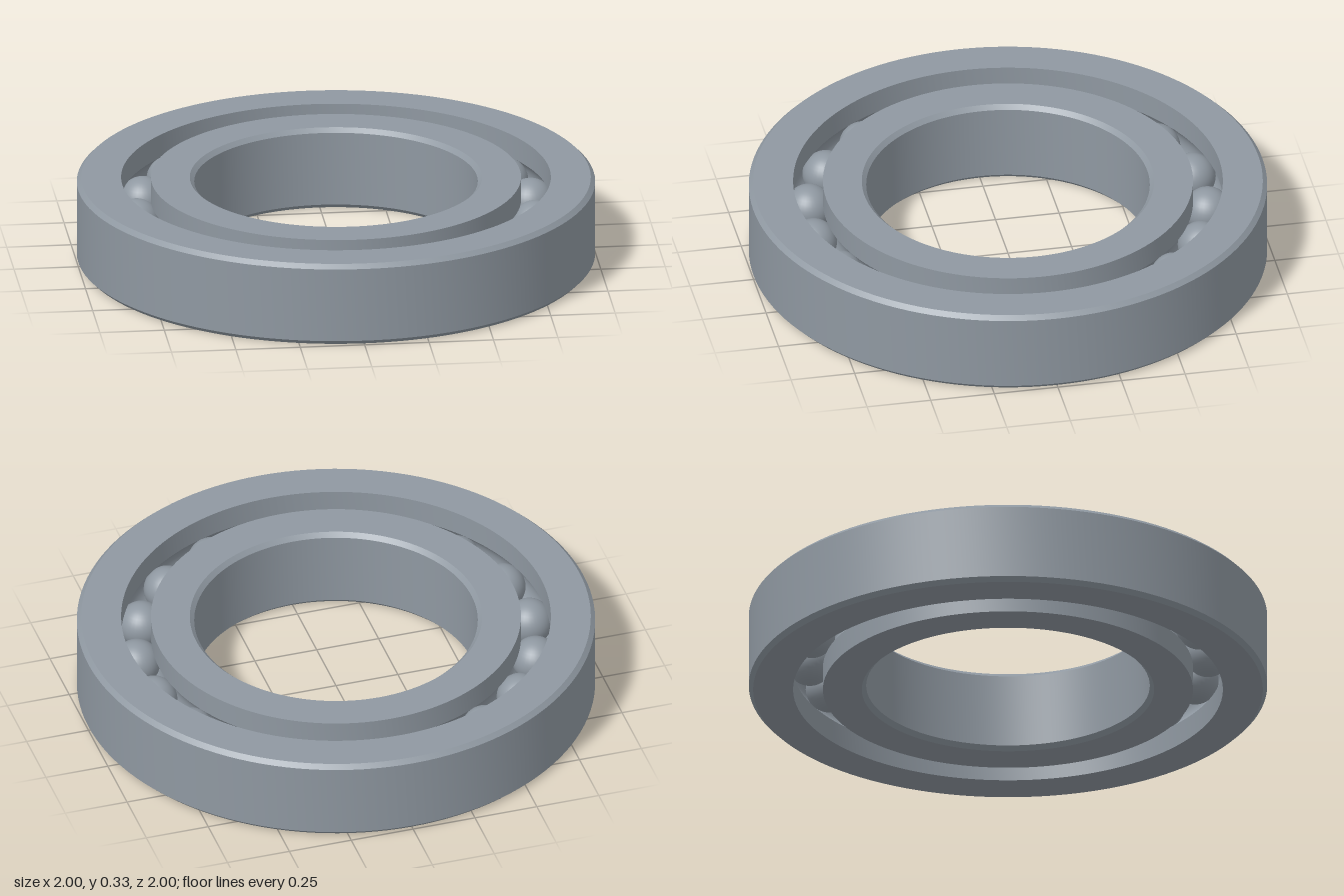
import * as THREE from 'three';
import { toCreasedNormals } from 'three/addons/utils/BufferGeometryUtils.js';

const HEIGHT = 0.328, MID = HEIGHT / 2;
const PITCH = 0.7715, BALL_RADIUS = 0.091, BALLS = 19;
const OUTER = 1, OUTER_LIP = 0.829, INNER_LIP = 0.714, BORE = 0.547;
const CHAMFER = 0.017;

// Raceway groove: arc of the ball circle around a middle angle, swept clockwise
function groove(lipRadius, middle) {
  const half = Math.acos(Math.abs(lipRadius - PITCH) / BALL_RADIUS);
  const points = [];
  for (let i = 0; i <= 12; i++) {
    const a = middle + half * (1 - i / 6);
    points.push([PITCH + BALL_RADIUS * Math.cos(a), MID + BALL_RADIUS * Math.sin(a)]);
  }
  return points;
}

// Revolve a closed profile, given counter-clockwise in (radius, height)
function ring(name, profile, material) {
  const points = [...profile, profile[0]].map(([r, y]) => new THREE.Vector2(r, y));
  const geometry = toCreasedNormals(new THREE.LatheGeometry(points, 128), 0.5);
  const mesh = new THREE.Mesh(geometry, material);
  mesh.name = name;
  return mesh;
}

export function createModel() {
  const model = new THREE.Group();
  model.name = 'ballBearing';
  const steel = new THREE.MeshStandardMaterial({ color: 0x8f98a1 });
  steel.name = 'steel';

  // Outer race, chamfered on its outside edges
  model.add(ring('outerRing', [
    [OUTER - CHAMFER, 0], [OUTER, CHAMFER],
    [OUTER, HEIGHT - CHAMFER], [OUTER - CHAMFER, HEIGHT],
    [OUTER_LIP, HEIGHT], ...groove(OUTER_LIP, 0), [OUTER_LIP, 0],
  ], steel));

  // Inner race, chamfered on the bore edges
  model.add(ring('innerRing', [
    [INNER_LIP, 0], ...groove(INNER_LIP, Math.PI), [INNER_LIP, HEIGHT],
    [BORE + CHAMFER, HEIGHT], [BORE, HEIGHT - CHAMFER],
    [BORE, CHAMFER], [BORE + CHAMFER, 0],
  ], steel));

  // Rolling balls, evenly spaced between the races
  const balls = new THREE.Group();
  balls.name = 'balls';
  const ballGeometry = new THREE.SphereGeometry(BALL_RADIUS, 32, 20);
  for (let i = 0; i < BALLS; i++) {
    const a = (i + 0.125) * 2 * Math.PI / BALLS;
    const ball = new THREE.Mesh(ballGeometry, steel);
    ball.name = 'ball' + (i + 1);
    ball.position.set(PITCH * Math.sin(a), MID, PITCH * Math.cos(a));
    balls.add(ball);
  }
  model.add(balls);
  return model;
}
